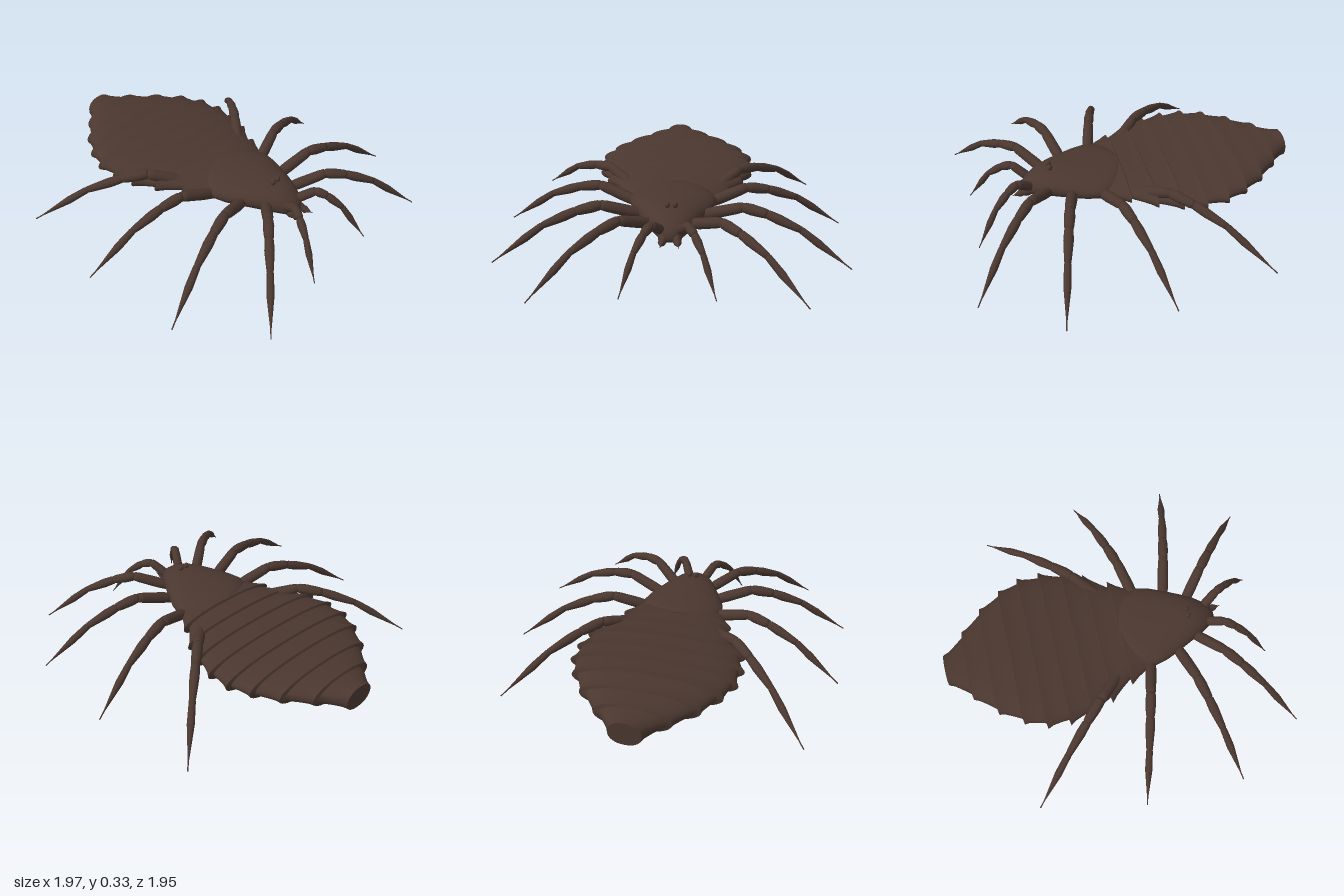
import * as THREE from 'three';
import { toCreasedNormals } from 'three/addons/utils/BufferGeometryUtils.js';

const brown = new THREE.MeshStandardMaterial({ color: 0x4a372f });
brown.name = 'dark brown';

function part(name, geometry, parent) {
  const mesh = new THREE.Mesh(geometry, brown);
  mesh.name = name;
  parent.add(mesh);
  return mesh;
}

function ellipsoid(name, parent, [x, y, z], [sx, sy, sz]) {
  const mesh = part(name, new THREE.SphereGeometry(1, 24, 16), parent);
  mesh.position.set(x, y, z);
  mesh.scale.set(sx, sy, sz);
  return mesh;
}

// Closed body from oval sections [z, halfWidth, top, bottom], ordered by rising z
function loft(sections, power = 2.2, sides = 48) {
  const close = ([z, , top, bottom]) => [z, 0, (top + bottom) / 2, (top + bottom) / 2];
  const rings = [close(sections[0]), ...sections, close(sections[sections.length - 1])];
  const bend = (v) => Math.sign(v) * Math.abs(v) ** (2 / power);
  const positions = [], index = [];
  rings.forEach(([z, w, top, bottom], i) => {
    for (let j = 0; j < sides; j++) {
      const a = (j / sides) * Math.PI * 2;
      positions.push(w * bend(Math.cos(a)), (top + bottom) / 2 + ((top - bottom) / 2) * bend(Math.sin(a)), z);
      if (i === rings.length - 1) continue;
      const p = i * sides + j, q = i * sides + ((j + 1) % sides);
      if (i > 0) index.push(p, q, p + sides);
      if (i < rings.length - 2) index.push(q, q + sides, p + sides);
    }
  });
  const g = new THREE.BufferGeometry();
  g.setAttribute('position', new THREE.Float32BufferAttribute(positions, 3));
  g.setIndex(index);
  return toCreasedNormals(g, 0.8);
}

// Overlapping plates, each flaring out to a lip at its rear edge
function abdomenGeometry() {
  const lips = [
    [-0.98, 0.09, 0.30, 0.16], [-0.855, 0.21, 0.31, 0.155], [-0.73, 0.33, 0.318, 0.148],
    [-0.6, 0.42, 0.325, 0.145], [-0.475, 0.475, 0.32, 0.145], [-0.345, 0.485, 0.315, 0.148],
    [-0.215, 0.465, 0.31, 0.15], [-0.085, 0.41, 0.302, 0.155], [0.05, 0.33, 0.298, 0.16],
    [0.24, 0.25, 0.285, 0.17],
  ];
  const sections = [];
  for (let i = 0; i < lips.length - 1; i++) {
    const a = lips[i], b = lips[i + 1];
    const waist = [b[0] - 0.006, b[1] - 0.035, b[2] - 0.012, b[3] + 0.01];
    const mix = (t, inset) => [
      THREE.MathUtils.lerp(a[0], waist[0], t),
      THREE.MathUtils.lerp(a[1], waist[1], t) - inset,
      THREE.MathUtils.lerp(a[2], waist[2], t) - inset * 0.4,
      THREE.MathUtils.lerp(a[3], waist[3], t) + inset * 0.4,
    ];
    sections.push(a, mix(0.25, 0.008), mix(0.6, 0.006), waist);
  }
  return loft(sections);
}

// Tapered, slightly swollen limb segment between two points
function limbSegment(name, parent, from, to, r0, r1) {
  const length = from.distanceTo(to);
  const profile = [[0, -r0 * 0.5], [r0 * 0.7, -r0 * 0.25], [r0 * 0.95, r0 * 0.3], [r0 * 1.06, length * 0.35],
    [r1 * 1.04, length * 0.85], [r1 * 0.9, length], [0, length + r1 * 0.4]];
  const g = new THREE.LatheGeometry(profile.map(([x, y]) => new THREE.Vector2(x, y)), 14);
  const mesh = part(name, g, parent);
  mesh.position.copy(from);
  mesh.quaternion.setFromUnitVectors(new THREE.Vector3(0, 1, 0), to.clone().sub(from).normalize());
}

// Arched leg running straight outwards from body to ground
function leg(name, parent, base, tip, thickness) {
  const group = new THREE.Group();
  group.name = name;
  parent.add(group);
  const steps = [[0, 0.215], [0.28, 0.292], [0.44, 0.268], [0.66, 0.2], [1, 0.005]];
  const radii = [1, 0.95, 0.85, 0.65, 0.12];
  const points = steps.map(([t, y]) => new THREE.Vector3(
    THREE.MathUtils.lerp(base[0], tip[0], t), y, THREE.MathUtils.lerp(base[1], tip[1], t)));
  const names = ['thigh', 'knee', 'shin', 'foot'];
  names.forEach((n, i) =>
    limbSegment(n, group, points[i], points[i + 1], radii[i] * thickness, radii[i + 1] * thickness));
}

export function createModel() {
  const model = new THREE.Group();
  model.name = 'spider';

  part('abdomen', abdomenGeometry(), model);

  // Head shield narrowing to the front, with a rounded rear edge
  part('headShield', loft([
    [0.045, 0.03, 0.296, 0.26], [0.06, 0.11, 0.3, 0.23], [0.085, 0.17, 0.303, 0.2], [0.13, 0.22, 0.306, 0.175],
    [0.2, 0.25, 0.308, 0.16], [0.28, 0.23, 0.309, 0.155], [0.36, 0.195, 0.309, 0.155], [0.45, 0.15, 0.308, 0.155],
    [0.52, 0.115, 0.292, 0.158], [0.58, 0.075, 0.262, 0.162], [0.61, 0.045, 0.238, 0.17], [0.625, 0.015, 0.212, 0.185],
  ], 2.1), model);
  ellipsoid('breastPlate', model, [0, 0.152, 0.17], [0.1, 0.034, 0.18]);

  const legs = [
    ['frontLeg', [0.1, 0.47], [0.7, 0.97], 0.03],
    ['secondLeg', [0.16, 0.355], [0.97, 0.56], 0.031],
    ['thirdLeg', [0.2, 0.19], [0.985, -0.02], 0.031],
    ['rearLeg', [0.21, 0.03], [0.86, -0.62], 0.031],
    ['feeler', [0.04, 0.56], [0.245, 0.915], 0.026],
  ];
  for (const [side, s] of [['left', 1], ['right', -1]]) {
    for (const [name, base, tip, r] of legs) {
      leg(`${side} ${name}`, model, [s * base[0], base[1]], [s * tip[0], tip[1]], r);
    }
    ellipsoid(`${side} eye`, model, [s * 0.021, 0.318, 0.455], [0.015, 0.018, 0.015]);
    // Jaw with a short pointed fang
    ellipsoid(`${side} jaw`, model, [s * 0.036, 0.188, 0.6], [0.026, 0.028, 0.04]);
    limbSegment(`${side} fang`, model, new THREE.Vector3(s * 0.038, 0.187, 0.615),
      new THREE.Vector3(s * 0.048, 0.178, 0.685), 0.02, 0.002);
  }
  return model;
}
